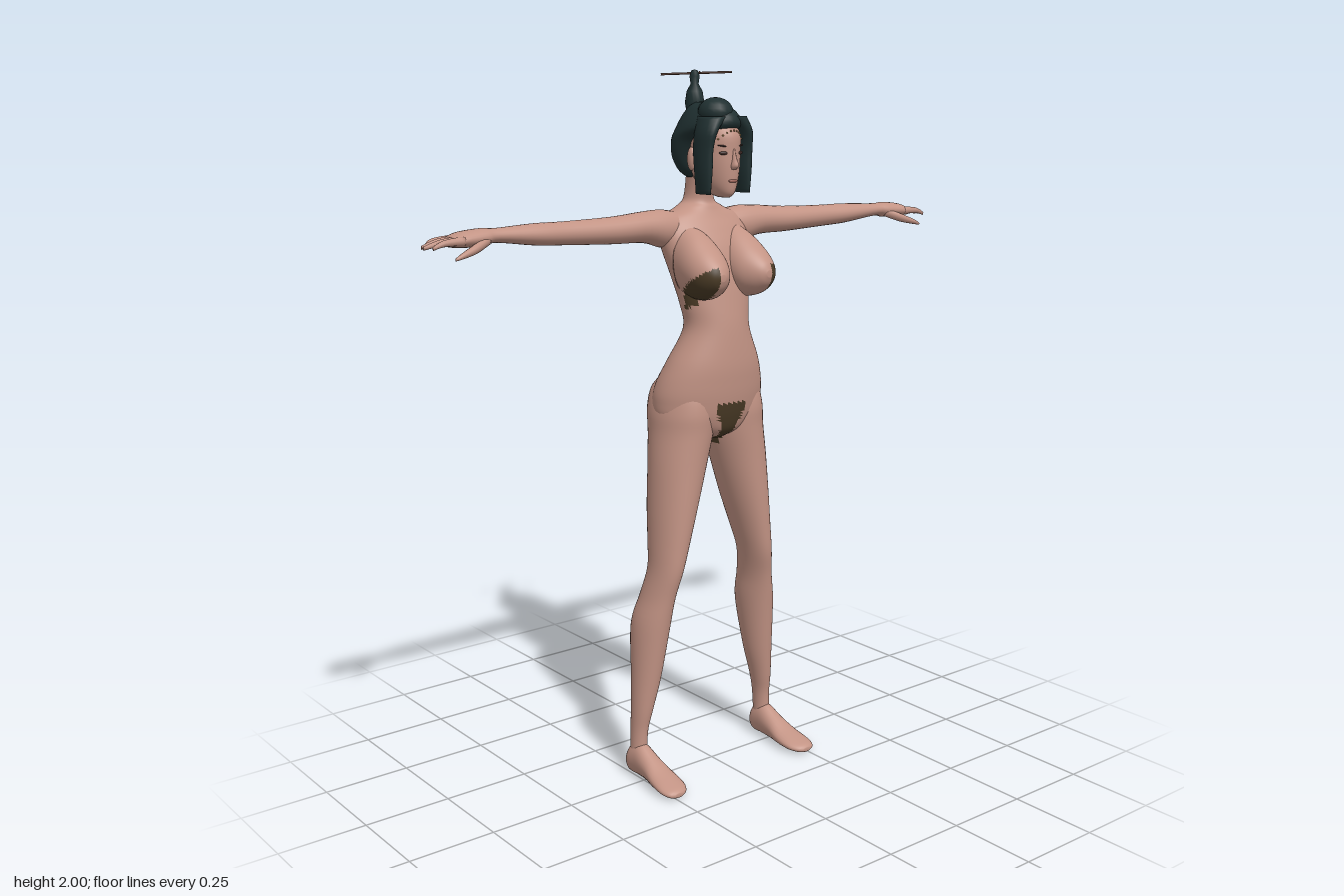
import * as THREE from 'three';

const mat = (name, color, side = THREE.FrontSide) => {
  const m = new THREE.MeshStandardMaterial({ color, side });
  m.name = name;
  return m;
};

// Regions of the body covered by the two-piece costume
function isFabric(x, y, z) {
  const ax = Math.abs(x);
  const chest = z > 0.015 && ax > 0.09 && y < 1.395 + 0.6 * z && y > 1.355 + 0.3 * z;
  const front = z > 0 && y < 1.097 && ax < 0.02 + Math.max(0, y - 1.0) * 0.36;
  const back = z <= 0 && y < 1.16 && ax < 0.02 + Math.max(0, y - 1.03) * 0.3;
  return chest || front || back;
}

// Catmull-Rom refinement of cross-section rows
function refine(rows, n) {
  const out = [];
  for (let i = 0; i < rows.length - 1; i++) {
    const p = [rows[Math.max(i - 1, 0)], rows[i], rows[i + 1], rows[Math.min(i + 2, rows.length - 1)]];
    for (let k = 0; k < n; k++) {
      const t = k / n;
      out.push(rows[i].map((_, c) => {
        const [a, b, d, e] = p.map((r) => r[c]);
        return 0.5 * (2 * b + (d - a) * t + (2 * a - 5 * b + 4 * d - e) * t * t + (3 * b - a - 3 * d + e) * t * t * t);
      }));
    }
  }
  out.push(rows[rows.length - 1]);
  return out;
}

// Oval loft along an axis; row = [t, a0, a1, b0, b1], with (t, a, b) in cyclic xyz order
function loft(rows, axis, s = 1, seg = 24, n = 4) {
  const T = 'xyz'.indexOf(axis), A = (T + 1) % 3, B = (T + 2) % 3;
  const rings = refine(rows, n), pos = [];
  const put = (t, a, b) => {
    const v = [0, 0, 0];
    v[T] = t; v[A] = a; v[B] = b;
    pos.push(v[0] * s, v[1], v[2]);
  };
  for (const [t, a0, a1, b0, b1] of rings) {
    for (let j = 0; j < seg; j++) {
      const q = (j / seg) * Math.PI * 2;
      put(t, (a0 + a1) / 2 + ((a1 - a0) / 2) * Math.cos(q), (b0 + b1) / 2 + ((b1 - b0) / 2) * Math.sin(q));
    }
  }
  const last = rings.length - 1, c0 = pos.length / 3;
  for (const r of [rings[0], rings[last]]) put(r[0], (r[1] + r[2]) / 2, (r[3] + r[4]) / 2);
  const lists = [[], []];
  const tri = (a, b, c) => {
    const m = [0, 1, 2].map((k) => (pos[a * 3 + k] + pos[b * 3 + k] + pos[c * 3 + k]) / 3);
    lists[isFabric(...m) ? 1 : 0].push(...(s > 0 ? [a, b, c] : [a, c, b]));
  };
  for (let j = 0; j < seg; j++) {
    const k = (j + 1) % seg;
    for (let i = 0; i < last; i++) {
      const a = i * seg + j, b = i * seg + k;
      tri(a, b, a + seg);
      tri(b, b + seg, a + seg);
    }
    tri(c0, k, j);
    tri(c0 + 1, last * seg + j, last * seg + k);
  }
  const g = new THREE.BufferGeometry();
  g.setAttribute('position', new THREE.Float32BufferAttribute(pos, 3));
  g.setIndex([...lists[0], ...lists[1]]);
  g.addGroup(0, lists[0].length, 0);
  if (lists[1].length) g.addGroup(lists[0].length, lists[1].length, 1);
  g.computeVertexNormals();
  return g;
}

export function createModel() {
  const root = new THREE.Group();
  root.name = 'figure';
  const skin = mat('skin', 0xc39485), fabric = mat('fabric', 0x4a3b26), hair = mat('hair', 0x1f2f30);
  const wood = mat('hairpin wood', 0x5c3a2b), dark = mat('eye dark', 0x3a2723);
  const lip = mat('lips', 0xa0675c), gold = mat('gold', 0xb58f55);
  const body = [skin, fabric], hairs = [hair, hair];
  const add = (name, geo, material, x = 0, y = 0, z = 0) => {
    const m = new THREE.Mesh(geo, material);
    m.name = name;
    m.position.set(x, y, z);
    root.add(m);
    return m;
  };
  const blob = (name, material, x, y, z, a, b, c) =>
    add(name, new THREE.SphereGeometry(1, 16, 12).scale(a, b, c), material, x, y, z);

  // Torso and neck: [y, back, front, -half width, half width]
  const torso = [
    [0.985, -0.07, 0.03, 0.03], [1.01, -0.11, 0.068, 0.1], [1.05, -0.13, 0.085, 0.163],
    [1.1, -0.14, 0.096, 0.173], [1.15, -0.127, 0.102, 0.165], [1.21, -0.097, 0.105, 0.142],
    [1.3, -0.06, 0.1, 0.1], [1.37, -0.068, 0.09, 0.106], [1.45, -0.095, 0.075, 0.122],
    [1.52, -0.112, 0.055, 0.14], [1.57, -0.116, 0.03, 0.145], [1.605, -0.115, 0.008, 0.125],
    [1.63, -0.11, -0.005, 0.07], [1.655, -0.105, -0.012, 0.039], [1.73, -0.095, 0.0, 0.035],
  ].map(([y, b, f, w]) => [y, b, f, -w, w]);
  add('torso', loft(torso, 'y', 1, 64, 6), body);

  // Head: [y, back, front, -half width, half width]
  const head = [
    [1.66, 0.03, 0.075, 0.012], [1.672, -0.01, 0.088, 0.028], [1.7, -0.05, 0.094, 0.045],
    [1.74, -0.075, 0.097, 0.056], [1.78, -0.085, 0.097, 0.061], [1.83, -0.085, 0.095, 0.061],
    [1.87, -0.06, 0.065, 0.04],
  ].map(([y, b, f, w]) => [y, b, f, -w, w]);
  add('head', loft(head, 'y', 1, 32), body);
  add('nose', loft([[1.735, 0.085, 0.1, -0.008, 0.008], [1.745, 0.08, 0.113, -0.01, 0.01],
    [1.765, 0.08, 0.106, -0.006, 0.006], [1.79, 0.08, 0.098, -0.005, 0.005]], 'y', 1, 12), body);
  blob('lips', lip, 0, 1.705, 0.092, 0.015, 0.005, 0.005);

  // Hair mass, front roll and topknot
  const cap = [
    [1.71, -0.09, -0.02, 0.035], [1.73, -0.107, -0.015, 0.06], [1.77, -0.12, -0.01, 0.078],
    [1.815, -0.122, 0.02, 0.083], [1.845, -0.115, 0.088, 0.08], [1.875, -0.1, 0.09, 0.066],
    [1.9, -0.08, 0.06, 0.045], [1.912, -0.06, 0.02, 0.02],
  ].map(([y, b, f, w]) => [y, b, f, -w, w]);
  add('hairCap', loft(cap, 'y', 1, 32), hairs);
  blob('frontRoll', hair, -0.015, 1.885, 0.035, 0.048, 0.04, 0.05);
  const knot = [[0.02, 1.87], [0.027, 1.91], [0.022, 1.94], [0.011, 1.96], [0.014, 1.98], [0.009, 1.995], [0, 1.998]];
  add('topknot', new THREE.LatheGeometry(knot.map(([x, y]) => new THREE.Vector2(x, y)), 16), hair, 0, 0, -0.075);

  // Crossed hairpins
  for (const [x0, z0, x1, z1] of [[-0.035, -0.005, 0.08, -0.155], [-0.09, -0.11, 0.115, -0.055]]) {
    const path = new THREE.LineCurve3(new THREE.Vector3(x0, 1.985, z0), new THREE.Vector3(x1, 1.992, z1));
    add('hairpin', new THREE.TubeGeometry(path, 1, 0.003, 6), wood);
  }

  // Beads along the hairline
  for (let i = -4; i <= 4; i++) {
    blob('hairlineBead', gold, i * 0.01, 1.838 - i * i * 0.0014, 0.0965 - i * i * 0.0012, 0.0025, 0.0025, 0.0025);
  }

  for (const s of [1, -1]) {
    const side = s > 0 ? 'left' : 'right';

    // Face details and side locks
    blob(side + 'Eye', dark, s * 0.028, 1.779, 0.0865, 0.013, 0.005, 0.004).rotation.y = s * 0.35;
    blob(side + 'Brow', dark, s * 0.03, 1.798, 0.0855, 0.015, 0.0022, 0.004).rotation.set(0, s * 0.35, s * 0.12);
    blob(side + 'Ear', skin, s * 0.066, 1.762, -0.005, 0.01, 0.032, 0.015);
    add(side + 'Lock', loft([[1.67, 0.018, 0.08, 0.06, 0.076], [1.73, 0.015, 0.084, 0.052, 0.084],
      [1.79, 0.01, 0.087, 0.05, 0.085], [1.835, 0.01, 0.094, 0.038, 0.083],
      [1.875, 0, 0.09, 0, 0.07]], 'y', s, 20), hairs);

    // Chest: [z, inner, outer, bottom, top]
    add(side + 'Chest', loft([[0, 0.01, 0.135, 1.39, 1.585], [0.05, 0.01, 0.141, 1.385, 1.56],
      [0.09, 0.016, 0.139, 1.39, 1.532], [0.12, 0.032, 0.128, 1.403, 1.508],
      [0.143, 0.053, 0.11, 1.424, 1.484], [0.153, 0.072, 0.09, 1.445, 1.463]], 'z', s, 48, 6), body);

    // Arm: [x, bottom, top, back, front]
    add(side + 'Arm', loft([[0.05, 1.53, 1.61, -0.1, -0.01], [0.13, 1.522, 1.626, -0.104, -0.002],
      [0.2, 1.54, 1.624, -0.098, -0.003], [0.3, 1.543, 1.616, -0.09, -0.005],
      [0.45, 1.55, 1.612, -0.084, -0.012], [0.54, 1.555, 1.612, -0.085, -0.01],
      [0.66, 1.57, 1.607, -0.068, -0.014], [0.7, 1.564, 1.609, -0.077, -0.008],
      [0.76, 1.563, 1.603, -0.088, -0.004], [0.79, 1.566, 1.592, -0.085, -0.007]], 'x', s, 24), body);

    // Fingers and thumb
    [[-0.077, 0.84], [-0.056, 0.86], [-0.035, 0.866], [-0.015, 0.85]].forEach(([z, tip]) => {
      add(side + 'Finger', loft([[0.765, 1.571, 1.594, z - 0.011, z + 0.011],
        [0.82, 1.571, 1.588, z - 0.009, z + 0.009], [tip, 1.564, 1.574, z - 0.004, z + 0.004]], 'x', s, 10), body);
    });
    add(side + 'Thumb', loft([[0.69, 1.568, 1.594, -0.035, -0.012], [0.74, 1.55, 1.575, -0.016, 0.01],
      [0.785, 1.541, 1.556, 0.002, 0.018], [0.805, 1.538, 1.545, 0.01, 0.017]], 'x', s, 12), body);

    // Leg: [y, back, front, inner, outer]
    add(side + 'Leg', loft([[0.03, -0.075, -0.02, 0.212, 0.258], [0.13, -0.077, -0.018, 0.208, 0.254],
      [0.2, -0.08, -0.006, 0.194, 0.253], [0.3, -0.09, 0.008, 0.168, 0.25],
      [0.45, -0.105, 0.028, 0.143, 0.244], [0.54, -0.085, 0.042, 0.137, 0.222],
      [0.62, -0.07, 0.06, 0.122, 0.206], [0.7, -0.083, 0.066, 0.098, 0.2],
      [0.8, -0.1, 0.07, 0.066, 0.195], [0.92, -0.113, 0.073, 0.03, 0.187],
      [1.01, -0.13, 0.077, 0.006, 0.177], [1.07, -0.141, 0.08, 0.004, 0.172],
      [1.13, -0.132, 0.07, 0.015, 0.155], [1.18, -0.08, 0.04, 0.05, 0.12]], 'y', s, 40, 5), body);

    // Foot: [z, inner, outer, sole, top]
    add(side + 'Foot', loft([[-0.087, 0.222, 0.248, 0.012, 0.05], [-0.07, 0.208, 0.262, 0, 0.085],
      [-0.03, 0.204, 0.264, 0, 0.1], [0.02, 0.2, 0.268, 0, 0.076], [0.07, 0.193, 0.277, 0, 0.05],
      [0.12, 0.195, 0.281, 0, 0.033], [0.148, 0.21, 0.272, 0, 0.024], [0.158, 0.228, 0.255, 0.004, 0.016]], 'z', s, 24), body);
  }
  return root;
}
